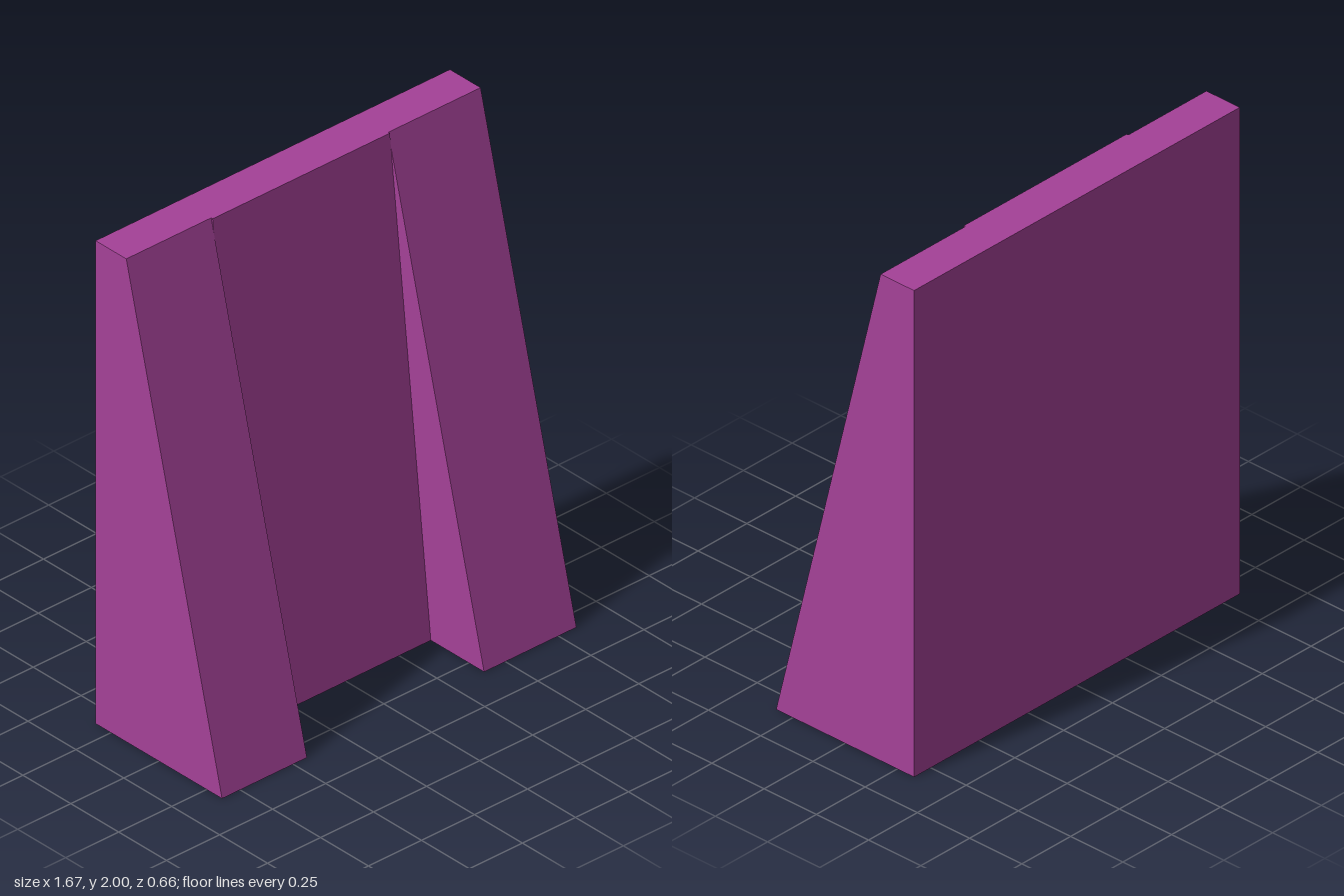
import * as THREE from 'three';

const HEIGHT = 2;
const BACK = -0.33;

// Upright wedge: vertical back, sloping front, spanning x0 to x1
function wedge(name, x0, x1, frontBottom, frontTop, material) {
  const profile = new THREE.Shape([
    new THREE.Vector2(BACK, 0),
    new THREE.Vector2(frontBottom, 0),
    new THREE.Vector2(frontTop, HEIGHT),
    new THREE.Vector2(BACK, HEIGHT),
  ]);
  const geometry = new THREE.ExtrudeGeometry(profile, { depth: x1 - x0, bevelEnabled: false });
  geometry.rotateY(-Math.PI / 2); // profile x becomes z, depth runs along -x
  geometry.translate(x1, 0, 0);
  const mesh = new THREE.Mesh(geometry, material);
  mesh.name = name;
  return mesh;
}

export function createModel() {
  const group = new THREE.Group();
  group.name = 'buttressedWall';
  const purple = new THREE.MeshStandardMaterial({ color: 0xa54198 });
  purple.name = 'purple';

  // Two deep buttresses either side of a shallower recessed panel
  group.add(
    wedge('rightButtress', -0.835, -0.435, 0.33, -0.17, purple),
    wedge('centrePanel', -0.435, 0.4, 0.052, -0.162, purple),
    wedge('leftButtress', 0.4, 0.835, 0.33, -0.17, purple),
  );
  return group;
}
